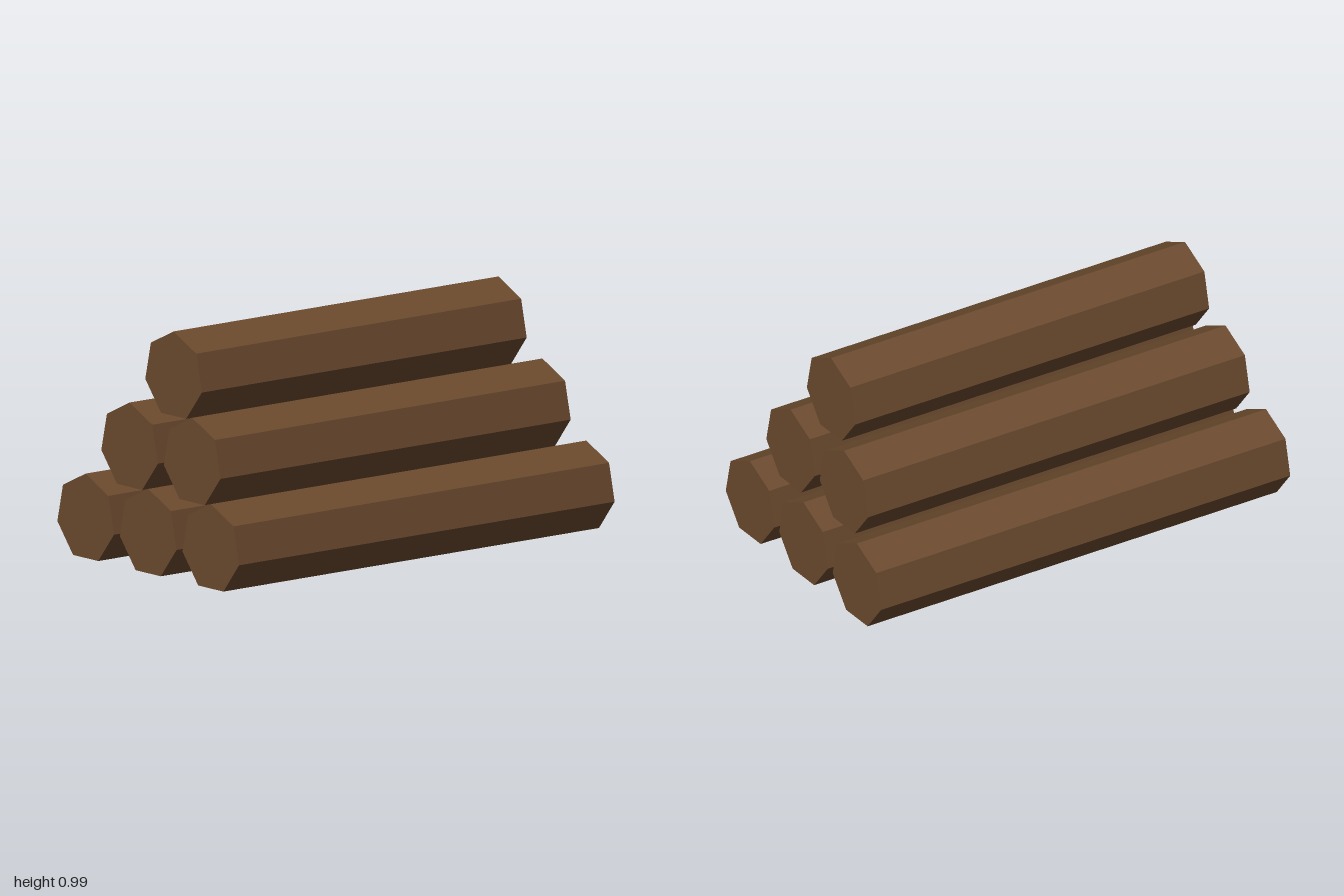
import * as THREE from 'three';

export function createModel() {
  const group = new THREE.Group();
  group.name = 'logPile';

  const bark = new THREE.MeshStandardMaterial({ color: 0x6b4a2e });
  bark.name = 'brown wood';

  const radius = 0.1855;
  const baseY = radius * Math.cos(Math.PI / 7); // flat side rests on the ground
  const rowHeight = 0.32;
  const spacing = 0.4;
  const lengths = [2, 1.865, 1.73]; // bottom row to top row

  lengths.forEach((length, row) => {
    // Seven-sided log lying along x, with one corner pointing up
    const log = new THREE.CylinderGeometry(radius, radius, length, 7)
      .rotateX(-Math.PI / 2)
      .rotateY(Math.PI / 2)
      .toNonIndexed();
    log.computeVertexNormals(); // flat facets

    const count = lengths.length - row;
    for (let i = 0; i < count; i++) {
      const mesh = new THREE.Mesh(log, bark);
      mesh.name = `logRow${row + 1}Number${i + 1}`;
      mesh.position.set(0, baseY + row * rowHeight, (i - (count - 1) / 2) * spacing);
      group.add(mesh);
    }
  });

  return group;
}
